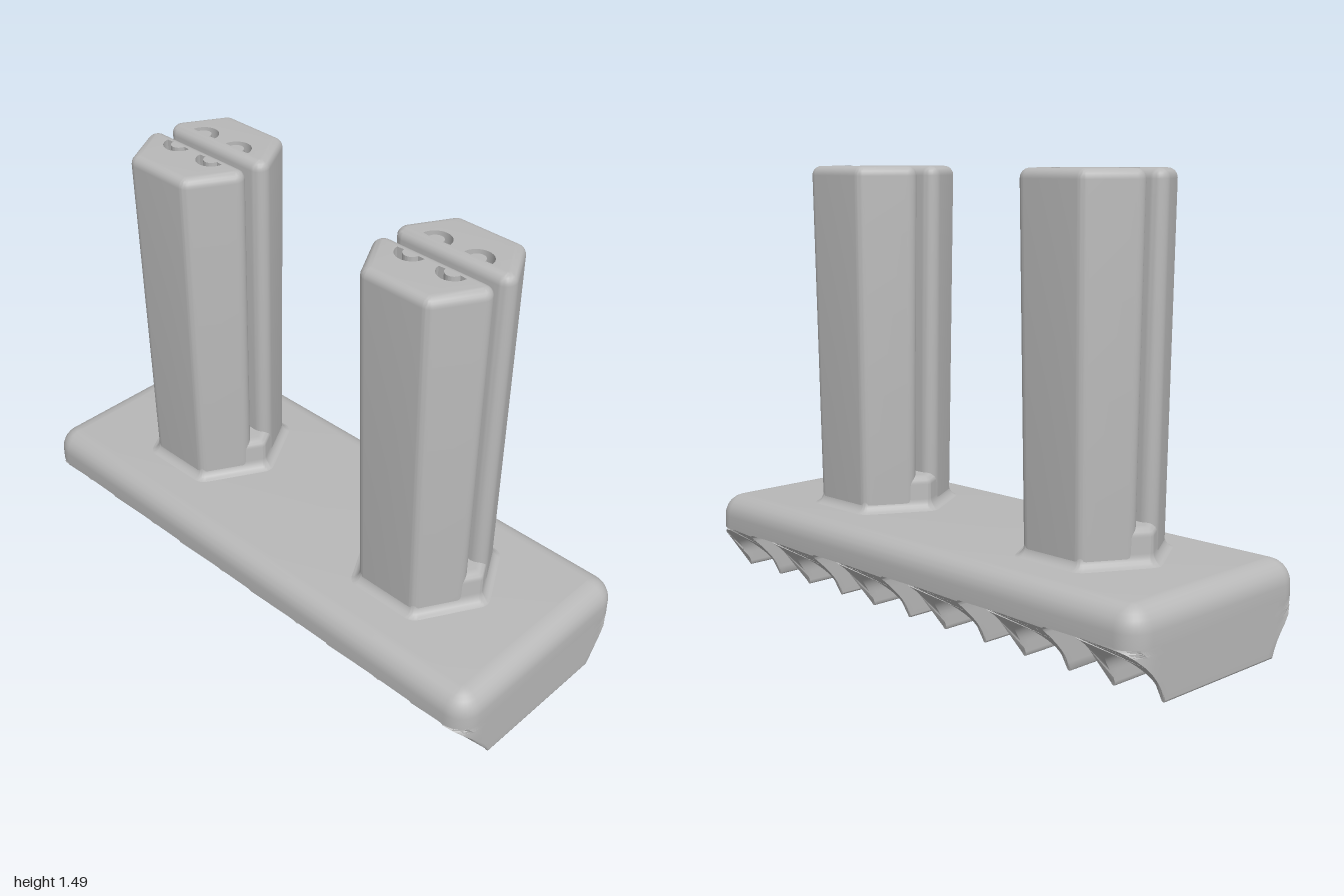
import * as THREE from 'three';
import { mergeGeometries, toCreasedNormals } from 'three/addons/utils/BufferGeometryUtils.js';

const grey = new THREE.MeshStandardMaterial({ color: 0xb8b8b8 });
grey.name = 'grey';

// Convex counter-clockwise polygon (x, -z), moved inward by d, with round corners
function outline(poly, d, r, n = 8) {
  const out = [], rr = Math.max(r - d, 0.004), N = poly.length;
  const inward = (a, b) => {
    const e = b.clone().sub(a).normalize();
    return new THREE.Vector2(-e.y, e.x);
  };
  const P = poly.map(p => new THREE.Vector2(p[0], p[1]));
  for (let i = 0; i < N; i++) {
    const n1 = inward(P[(i + N - 1) % N], P[i]), n2 = inward(P[i], P[(i + 1) % N]);
    const c = n1.clone().add(n2).multiplyScalar((d + rr) / (1 + n1.dot(n2))).add(P[i]);
    const a0 = Math.atan2(-n1.y, -n1.x);
    let a1 = Math.atan2(-n2.y, -n2.x);
    if (a1 < a0) a1 += Math.PI * 2;
    for (let k = 0; k <= n; k++) {
      const a = a0 + (a1 - a0) * k / n;
      out.push(new THREE.Vector2(c.x + rr * Math.cos(a), c.y + rr * Math.sin(a)));
    }
  }
  return out;
}

// Side wall through a stack of rings { y, pts }
function wall(rings) {
  const pos = [];
  const put = (r, j) => {
    const p = r.pts[j % r.pts.length];
    pos.push(p.x, r.y, -p.y);
  };
  for (let i = 0; i + 1 < rings.length; i++) {
    const lo = rings[i], hi = rings[i + 1];
    for (let j = 0; j < lo.pts.length; j++) {
      put(lo, j); put(lo, j + 1); put(hi, j + 1);
      put(lo, j); put(hi, j + 1); put(hi, j);
    }
  }
  const g = new THREE.BufferGeometry();
  g.setAttribute('position', new THREE.Float32BufferAttribute(pos, 3));
  return g;
}

// Flat face at height y, facing up or down
function face(pts, y, holes = [], up = true) {
  const s = new THREE.Shape(pts);
  s.holes = holes.map(h => new THREE.Path(h));
  const g = new THREE.ShapeGeometry(s).rotateX(up ? -Math.PI / 2 : Math.PI / 2).translate(0, y, 0).toNonIndexed();
  g.deleteAttribute('uv');
  g.deleteAttribute('normal');
  return g;
}

function part(name, geos, crease = 0.6) {
  const m = new THREE.Mesh(toCreasedNormals(mergeGeometries(geos), crease), grey);
  m.name = name;
  return m;
}

// Quarter-round top edge as [inset, height] pairs
function roundTop(r, top, n = 6) {
  return Array.from({ length: n + 1 }, (_, k) => {
    const a = k / n * Math.PI / 2;
    return [r * (1 - Math.cos(a)), top - r + r * Math.sin(a)];
  });
}

// Slab with rounded corners and a rounded top edge
function makeSlab() {
  const rect = [[-0.4, -1], [0.4, -1], [0.4, 1], [-0.4, 1]];
  const rings = [[0, 0.175], ...roundTop(0.075, 0.295)].map(([d, y]) => ({ y, pts: outline(rect, d, 0.08) }));
  return part('baseSlab', [
    wall(rings), face(rings.at(-1).pts, 0.295), face(rings[0].pts, 0.175, [], false),
  ]);
}

// Thin-legged arch running across the underside, flaring out towards the slab
function makeArch(zc) {
  const s = new THREE.Shape();
  const leg = (x, from, to) => {
    for (let k = 1; k <= 6; k++) s.lineTo(x, from + (to - from) * k / 6);
  };
  s.moveTo(-0.13, 0.177);
  s.quadraticCurveTo(-0.1, 0.175, -0.1, 0.145);
  leg(-0.1, 0.145, 0.0075);
  s.absarc(-0.0925, 0.0075, 0.0075, Math.PI, Math.PI * 2, false);
  leg(-0.085, 0.0075, 0.055);
  s.absarc(0, 0.055, 0.085, Math.PI, 0, true);
  leg(0.085, 0.055, 0.0075);
  s.absarc(0.0925, 0.0075, 0.0075, Math.PI, Math.PI * 2, false);
  leg(0.1, 0.0075, 0.145);
  s.quadraticCurveTo(0.1, 0.175, 0.13, 0.177);
  const g = new THREE.ExtrudeGeometry(s, { depth: 2, steps: 20, bevelEnabled: false, curveSegments: 12 });
  g.translate(0, 0, -1).rotateY(Math.PI / 2);
  const p = g.attributes.position;
  for (let i = 0; i < p.count; i++) {
    const y = p.getY(i);
    const x = p.getX(i) * (0.26 + 0.14 * Math.pow(Math.min(y, 0.17) / 0.17, 1.5));
    const over = Math.min(Math.max(Math.abs(x) - 0.32, 0), 0.08);
    const lim = 0.92 + Math.sqrt(0.0064 - over * over);
    p.setX(i, x);
    p.setZ(i, THREE.MathUtils.clamp(p.getZ(i) + zc, -lim, lim));
  }
  return part('archFin', [g]);
}

// Hexagonal collar with a fillet into the slab
function makeCollar() {
  const R = 0.234, w = R * Math.cos(Math.PI / 6);
  const hex = [[0, -R], [w, -R / 2], [w, R / 2], [0, R], [-w, R / 2], [-w, -R / 2]];
  const prof = [];
  for (let k = 0; k <= 6; k++) {
    const a = k / 6 * Math.PI / 2;
    prof.push([-0.04 * (1 - Math.sin(a)), 0.333 - 0.04 * Math.cos(a)]);
  }
  prof.push(...roundTop(0.03, 0.415));
  const rings = prof.map(([d, y]) => ({ y, pts: outline(hex, d, 0.02) }));
  return part('pillarCollar', [wall(rings), face(rings.at(-1).pts, 0.415)]);
}

// Curved groove outline in the pillar top
function groove(cy) {
  const pts = [];
  const arc = (r, a0, a1) => {
    for (let k = 0; k <= 16; k++) {
      const a = a0 + (a1 - a0) * k / 16;
      pts.push(new THREE.Vector2(0.053 + r * Math.cos(a), cy + r * Math.sin(a)));
    }
  };
  arc(0.052, -1.5, 1.5);
  arc(0.027, 1.5, -1.5);
  return pts;
}

// Half of a split hexagonal pillar, slightly wider at the top
function makeHalfPillar() {
  const top = 1.49, slit = 0.02;
  const rings = [[0, 0.29], ...roundTop(0.032, top)].map(([d, y]) => {
    const R = 0.236 + 0.02 * (y - 0.29) / 1.2, w = R * Math.cos(Math.PI / 6), z = R - slit * 0.577;
    const half = [[slit, -z], [w, -R / 2], [w, R / 2], [slit, z]];
    return { y, pts: outline(half, d, 0.036) };
  });
  const cuts = [groove(0.078), groove(-0.078)], floor = top - 0.04;
  const geos = [wall(rings), face(rings.at(-1).pts, top, cuts)];
  for (const c of cuts) {
    const back = [...c].reverse();
    geos.push(wall([{ y: floor, pts: back }, { y: top, pts: back }]), face(c, floor));
  }
  return part('pillarHalf', geos);
}

export function createModel() {
  const model = new THREE.Group();
  model.name = 'splitPillarBlock';
  model.add(makeSlab());

  const fins = new THREE.Group();
  fins.name = 'undersideFins';
  for (const z of [-0.9, -0.54, -0.18, 0.18, 0.54, 0.9]) fins.add(makeArch(z));
  model.add(fins);

  for (const side of [-1, 1]) {
    const pillar = new THREE.Group();
    pillar.name = side > 0 ? 'frontPillar' : 'backPillar';
    const left = makeHalfPillar(), right = makeHalfPillar();
    right.rotation.y = Math.PI;
    pillar.add(makeCollar(), left, right);
    pillar.position.z = side * 0.502;
    model.add(pillar);
  }
  return model;
}
